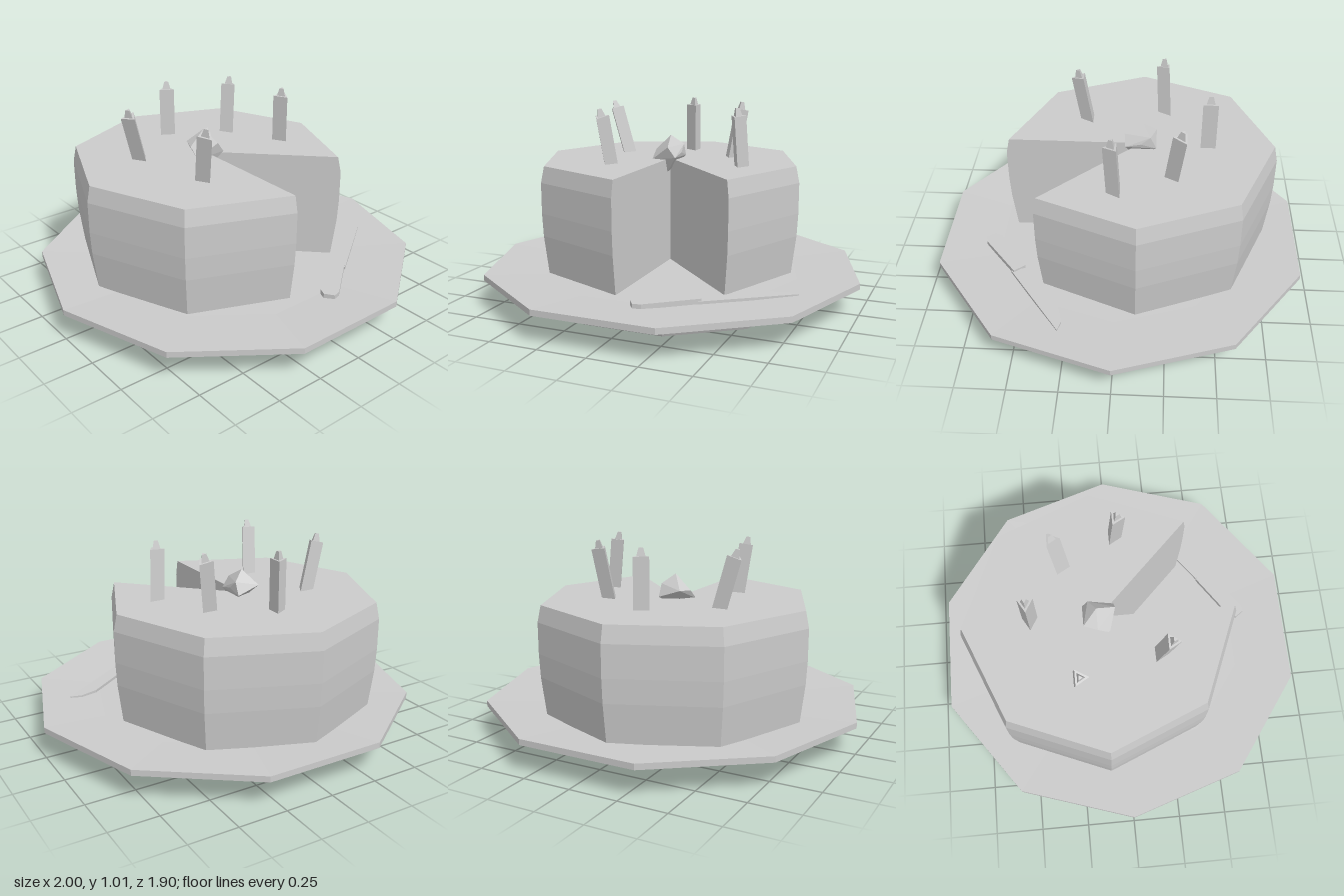
import * as THREE from 'three';
import { ConvexGeometry } from 'three/addons/geometries/ConvexGeometry.js';

const V3 = (x, y, z) => new THREE.Vector3(x, y, z);
const V2 = ([x, y]) => new THREE.Vector2(x, y);
const grey = new THREE.MeshStandardMaterial({ color: 0xcccccc, flatShading: true });
const greyDouble = new THREE.MeshStandardMaterial({ color: 0xcccccc, flatShading: true, side: THREE.DoubleSide });

function addMesh(parent, name, geometry, material = grey) {
  const mesh = new THREE.Mesh(geometry, material);
  mesh.name = name;
  parent.add(mesh);
  return mesh;
}

// Ten-sided plate with a small foot and a flared rim
function makePlate() {
  const profile = [[0, 0], [0.67, 0], [0.705, 0.065], [1, 0.135], [1, 0.165], [0.68, 0.15], [0, 0.15]];
  return new THREE.LatheGeometry(profile.map(V2), 10, Math.PI / 10);
}

// Eight-sided cake with one slice missing; the two cut walls close it
function makeCake() {
  const cake = new THREE.Group();
  cake.name = 'cake';
  const profile = [[0, 0.15], [0.683, 0.15], [0.695, 0.25], [0.707, 0.35], [0.713, 0.47],
    [0.713, 0.63], [0.695, 0.715], [0, 0.715]].map(V2);
  const slice = Math.PI / 4;
  addMesh(cake, 'cakeBody', new THREE.LatheGeometry(profile, 7, slice, 7 * slice));
  for (const phi of [0, slice]) {
    const wall = new THREE.ShapeGeometry(new THREE.Shape(profile));
    addMesh(cake, 'cutWall', wall.rotateY(phi - Math.PI / 2), greyDouble);
  }
  cake.position.set(-0.06, 0, -0.1);
  return cake;
}

// Leaning three-sided candle with a wick, from its base to its top
function makeCandle([bx, bz, tx, tz, top, turn]) {
  const candle = new THREE.Group();
  candle.name = 'candle';
  const base = V3(bx, 0.7, bz);
  const axis = V3(tx, top, tz).sub(base);
  const length = axis.length();
  addMesh(candle, 'wax', new THREE.CylinderGeometry(0.045, 0.045, length, 3).rotateY(turn).translate(0, length / 2, 0));
  addMesh(candle, 'wick', new THREE.CylinderGeometry(0.013, 0.026, 0.04, 3).rotateY(turn).translate(0, length + 0.02, 0));
  candle.position.copy(base);
  candle.quaternion.setFromUnitVectors(V3(0, 1, 0), axis.normalize());
  return candle;
}

// Flat slab from an outline given as x, z
function makeSlab(outline, y, height) {
  const shape = new THREE.Shape(outline.map(([x, z]) => V2([x, -z])));
  return new THREE.ExtrudeGeometry(shape, { depth: height, bevelEnabled: false })
    .rotateX(-Math.PI / 2).translate(0, y, 0);
}

export function createModel() {
  const model = new THREE.Group();
  model.name = 'birthdayCake';
  addMesh(model, 'plate', makePlate());
  model.add(makeCake());

  // Candles: base x, base z, top x, top z, top height, turn
  const candles = [
    [-0.37, -0.23, -0.44, -0.215, 0.962, 0],
    [-0.283, 0.185, -0.305, 0.235, 0.962, 0],
    [-0.055, -0.447, -0.055, -0.447, 0.972, -Math.PI / 2],
    [0.228, -0.268, 0.268, -0.302, 0.972, 0],
    [0.373, 0.01, 0.358, 0.028, 0.972, 0],
  ];
  for (const c of candles) model.add(makeCandle(c));

  // Berry perched at the middle, tipping into the cut
  const berry = [
    [-0.06, 0.84, -0.11], [0, 0.79, -0.15], [-0.12, 0.765, -0.18], [-0.145, 0.76, -0.11],
    [-0.04, 0.785, -0.015], [0, 0.73, -0.02], [-0.145, 0.71, -0.05], [-0.06, 0.645, -0.06],
    [0, 0.725, -0.18], [0.005, 0.75, -0.1],
  ];
  addMesh(model, 'berry', new ConvexGeometry(berry.map((p) => V3(...p))));

  // Knife lying on the plate
  const knife = new THREE.Group();
  knife.name = 'knife';
  addMesh(knife, 'handle', makeSlab([[0.1, 0.735], [0.14, 0.725], [0.365, 0.545], [0.32, 0.49],
    [0.085, 0.65], [0.068, 0.69]], 0.145, 0.031));
  addMesh(knife, 'blade', makeSlab([[0.355, 0.56], [0.76, 0.275], [0.7, 0.26], [0.61, 0.285],
    [0.33, 0.49]], 0.148, 0.017));
  model.add(knife);
  return model;
}
